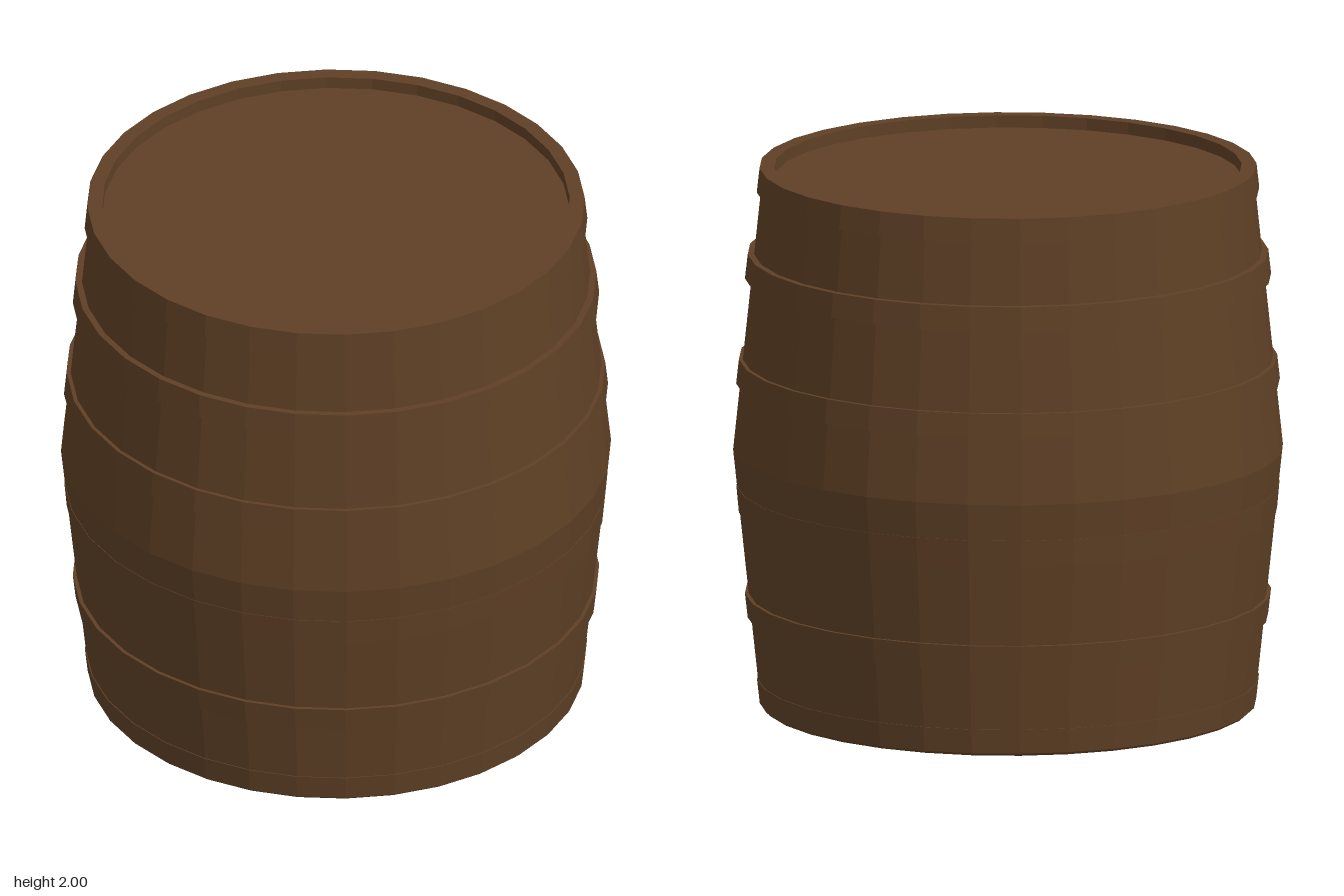
import * as THREE from 'three';

const SIDES = 32;
const wood = new THREE.MeshStandardMaterial({ color: 0x5f4025, flatShading: true });
wood.name = 'darkBrownWood';

// Faceted ring of sides from a profile of [radius, height], listed bottom to top on the outside
function turned(name, profile) {
  const points = profile.map(([r, y]) => new THREE.Vector2(r, y));
  const geometry = new THREE.LatheGeometry(points, SIDES).toNonIndexed();
  geometry.computeVertexNormals();
  const mesh = new THREE.Mesh(geometry, wood);
  mesh.name = name;
  return mesh;
}

export function createModel() {
  const barrel = new THREE.Group();
  barrel.name = 'barrel';

  // Staves bulging to the middle, closed at the base, with a raised rim on top
  barrel.add(turned('staves', [
    [0, 0], [0.892, 0], [0.9, 0.012], [1, 0.955], [0.89, 2], [0.85, 2], [0.85, 1.955],
  ]));

  // Recessed lid
  barrel.add(turned('lid', [[0.85, 1.955], [0, 1.955]]));

  // Hoops: bottom height, top height, bottom radius, top radius
  const hoops = [
    [0.01, 0.1, 0.903, 0.913],
    [0.33, 0.42, 0.947, 0.957],
    [0.72, 0.82, 0.979, 0.988],
    [1.2, 1.29, 0.989, 0.979],
    [1.59, 1.68, 0.957, 0.947],
    [1.91, 2, 0.914, 0.904],
  ];
  hoops.forEach(([y0, y1, r0, r1], i) => {
    const inner = Math.min(r0, r1) - 0.03;
    barrel.add(turned(`hoop${i + 1}`, [
      [inner, y0], [r0, y0], [r1, y1], [i === 5 ? 0.889 : inner, y1],
    ]));
  });

  return barrel;
}
